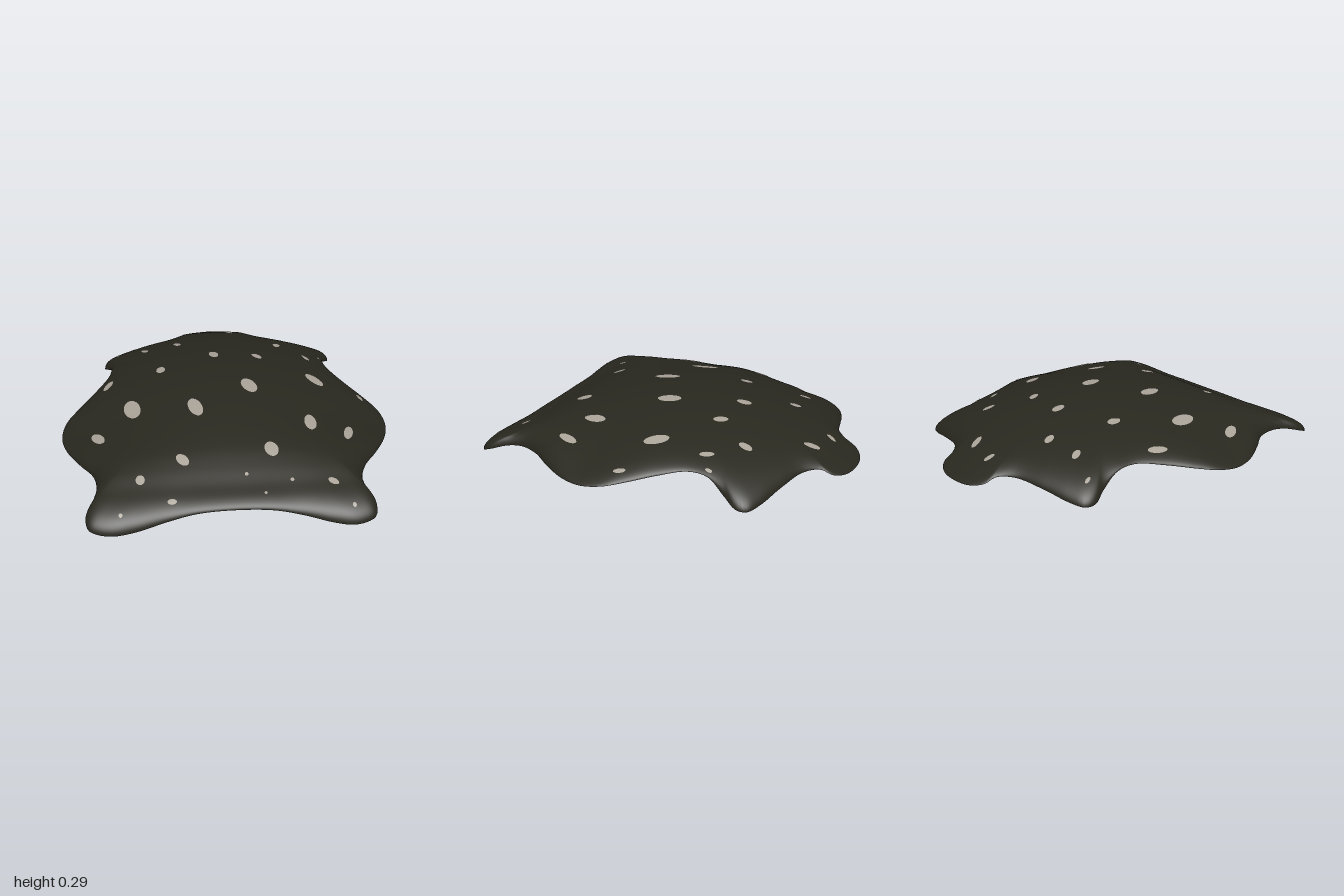
import * as THREE from 'three';

// Half of the hide's rim, from nose to tail: [x, z, height]
const HALF_RIM = [
  [0, -1, 0.035], [0.12, -0.98, 0.038], [0.19, -0.93, 0.055], [0.205, -0.87, 0.08], [0.28, -0.8, 0.083],
  [0.45, -0.745, 0.06], [0.62, -0.7, 0.028], [0.7, -0.66, 0.016], [0.715, -0.605, 0.022], [0.68, -0.52, 0.065],
  [0.645, -0.41, 0.132], [0.66, -0.3, 0.145], [0.74, -0.16, 0.124], [0.84, -0.02, 0.097], [0.9, 0.08, 0.08],
  [0.92, 0.2, 0.067], [0.89, 0.33, 0.067], [0.81, 0.48, 0.075], [0.73, 0.6, 0.08], [0.69, 0.72, 0.08],
  [0.7, 0.81, 0.07], [0.735, 0.9, 0.045], [0.72, 0.965, 0.02], [0.67, 0.99, 0.008], [0.6, 1, 0.003],
  [0.5, 0.985, 0.012], [0.35, 0.95, 0.04], [0.2, 0.93, 0.065], [0, 0.922, 0.072],
];

// Spots on the upper side: [x, z, half length, half width, tilt]
const TOP_SPOTS = [
  [-0.08, -0.82, 0.03, 0.015, 0.3], [0.1, -0.775, 0.045, 0.02, -0.45], [-0.61, -0.585, 0.02, 0.01, -0.3],
  [-0.44, -0.52, 0.035, 0.02, -0.5], [-0.24, -0.54, 0.035, 0.022, -0.4], [0.37, -0.5, 0.04, 0.024, 0.15],
  [0.53, -0.35, 0.04, 0.017, -0.5], [0.62, -0.405, 0.02, 0.01, 0], [-0.03, -0.31, 0.045, 0.03, -0.2],
  [0.225, -0.285, 0.042, 0.025, -0.6], [-0.35, -0.18, 0.04, 0.027, 0], [-0.66, -0.145, 0.055, 0.023, 0.4],
  [0.54, -0.055, 0.07, 0.035, -0.6], [0.8, 0.025, 0.033, 0.014, -0.4], [0.145, 0.075, 0.07, 0.042, -0.3],
  [-0.52, 0.18, 0.085, 0.045, -0.2], [-0.17, 0.255, 0.078, 0.038, -0.25], [-0.71, 0.365, 0.06, 0.028, -0.5],
  [0.455, 0.38, 0.066, 0.034, 0.05], [0.66, 0.43, 0.065, 0.024, 0.3], [0.215, 0.6, 0.048, 0.037, -0.2],
  [-0.26, 0.645, 0.042, 0.028, -0.7], [-0.485, 0.75, 0.028, 0.024, 0], [0.07, 0.745, 0.01, 0.01, 0],
  [0.305, 0.785, 0.01, 0.01, 0], [0.52, 0.805, 0.03, 0.018, -1], [-0.325, 0.88, 0.024, 0.015, 1.57],
  [0.16, 0.855, 0.008, 0.008, 0], [-0.59, 0.94, 0.01, 0.01, 0], [0.61, 0.94, 0.012, 0.01, 0],
];

// Spots on the underside
const UNDER_SPOTS = [
  [-0.17, -0.205, 0.22, 0.13, 0.695], [0.15, -0.675, 0.045, 0.04, 0.695], [-0.47, -0.6, 0.06, 0.028, 0.5],
  [0.535, 0.645, 0.078, 0.062, 0.695], [0.355, 0.75, 0.05, 0.03, 0.695], [0.635, 0.86, 0.035, 0.026, 0.695],
  [-0.247, 0.71, 0.062, 0.038, 0.695], [-0.4, 0.9, 0.025, 0.013, 0.695], [-0.645, 0.9, 0.042, 0.022, 0.695],
  [-0.083, 0.84, 0.013, 0.008, 0.695],
];

const SEGMENTS = 320;
const ROWS = 44;

// Full rim: the other half is mirrored, with a slightly different fore and hind foot
const mirrored = HALF_RIM.slice(1, -1).reverse().map(([x, z, y]) => {
  const hind = z < -0.5 && x > 0.5 ? 0.97 : 1;
  const fore = 0.035 * THREE.MathUtils.smoothstep(z, 0.55, 0.8) * THREE.MathUtils.smoothstep(x, 0.4, 0.7);
  return [-(x * hind + fore), z, y];
});
const rim = new THREE.CatmullRomCurve3(
  [...HALF_RIM, ...mirrored].map(([x, z, y]) => new THREE.Vector3(x, y, z)), true
).getSpacedPoints(SEGMENTS).slice(0, SEGMENTS);

// Heights along the middle line, above and below
const back = new THREE.CubicInterpolant(
  [-1, -0.9, -0.8, -0.6, -0.4, -0.2, 0, 0.2, 0.4, 0.6, 0.7, 0.8, 0.88, 1],
  [0.05, 0.095, 0.145, 0.212, 0.256, 0.282, 0.292, 0.284, 0.26, 0.219, 0.184, 0.145, 0.127, 0.1], 1
);
const belly = new THREE.CubicInterpolant(
  [-1, -0.8, -0.6, -0.4, -0.2, 0, 0.3, 0.6, 0.8, 1],
  [0.035, 0.095, 0.132, 0.158, 0.16, 0.15, 0.13, 0.11, 0.09, 0.065], 1
);
const along = (profile, z) => profile.evaluate(THREE.MathUtils.clamp(z, -1, 1))[0];

function dome(x, z) {
  const bend = 0.235 * (1 - THREE.MathUtils.smoothstep(z, 0.2, 0.85));
  return along(back, z) - bend * x * x;
}

// Height of the upper (side = 1) or lower (side = -1) skin; s runs from centre 0 to rim 1
function skinHeight(x, z, s, edge, side) {
  if (side < 0) return along(belly, z) + (edge.y - along(belly, edge.z)) * s ** 3;
  const roundOff = 1 - Math.sqrt(Math.max(0, 1 - s ** 11));
  return dome(x, z) - (dome(edge.x, edge.z) - edge.y) * roundOff;
}

// Rim point in the direction of (x, z)
const turn = (x, z) => (Math.atan2(z, x) + Math.PI * 2.5) % (Math.PI * 2);
const rimTurns = rim.map((p) => turn(p.x, p.z));
rimTurns[0] = 0;

function rimTowards(x, z) {
  const a = turn(x, z);
  let i = rimTurns.findIndex((t) => t > a) - 1;
  if (i < 0) i = SEGMENTS - 1;
  const end = i === SEGMENTS - 1 ? Math.PI * 2 : rimTurns[i + 1];
  const t = (a - rimTurns[i]) / (end - rimTurns[i]);
  return rim[i].clone().lerp(rim[(i + 1) % SEGMENTS], t);
}

// Rows of a closed ring grid
function ringGeometry(positions, rows, columns, flip) {
  const index = [];
  for (let j = 0; j < rows; j++) {
    for (let i = 0; i < columns; i++) {
      const next = (i + 1) % columns;
      const a = j * columns + i, b = j * columns + next;
      const c = b + columns, d = a + columns;
      if (flip) index.push(a, c, b, a, d, c);
      else index.push(a, b, c, a, c, d);
    }
  }
  const geometry = new THREE.BufferGeometry();
  geometry.setAttribute('position', new THREE.Float32BufferAttribute(positions, 3));
  geometry.setIndex(index);
  geometry.computeVertexNormals();
  return geometry;
}

// Upper skin out to the rim, then the underside back to the centre
function hideGeometry() {
  const positions = [];
  for (let j = 0; j <= ROWS * 2; j++) {
    const s = Math.sin((j / ROWS) * Math.PI / 2);
    for (const edge of rim) {
      const x = edge.x * s, z = edge.z * s;
      positions.push(x, skinHeight(x, z, s, edge, j <= ROWS ? 1 : -1), z);
    }
  }
  return ringGeometry(positions, ROWS * 2, SEGMENTS, false);
}

// Thin oval patch that follows the skin
function spotGeometry([cx, cz, length, width, tilt], side) {
  const positions = [], rings = 5, columns = 20;
  for (let j = 0; j <= rings; j++) {
    for (let i = 0; i < columns; i++) {
      const a = (i / columns) * Math.PI * 2;
      const u = Math.cos(a) * width * j / rings, v = Math.sin(a) * length * j / rings;
      let x = cx + u * Math.cos(tilt) - v * Math.sin(tilt);
      let z = cz + u * Math.sin(tilt) + v * Math.cos(tilt);
      const edge = rimTowards(x, z);
      const reach = Math.hypot(x, z) / Math.hypot(edge.x, edge.z);
      const s = Math.min(reach, 0.985);
      x *= s / reach;
      z *= s / reach;
      positions.push(x, skinHeight(x, z, s, edge, side) + side * 0.004, z);
    }
  }
  return ringGeometry(positions, rings, columns, side < 0);
}

export function createModel() {
  const hideColour = new THREE.MeshStandardMaterial({ color: 0x29281f });
  hideColour.name = 'dark olive';
  const spotColour = new THREE.MeshStandardMaterial({ color: 0xaaa398 });
  spotColour.name = 'pale grey';

  const model = new THREE.Group();
  model.name = 'spottedHide';
  const hide = new THREE.Mesh(hideGeometry(), hideColour);
  hide.name = 'hide';
  model.add(hide);

  for (const [name, spots, side] of [['upperSpots', TOP_SPOTS, 1], ['undersideSpots', UNDER_SPOTS, -1]]) {
    const group = new THREE.Group();
    group.name = name;
    for (const spot of spots) {
      const mesh = new THREE.Mesh(spotGeometry(spot, side), spotColour);
      mesh.name = 'spot';
      group.add(mesh);
    }
    model.add(group);
  }
  return model;
}
